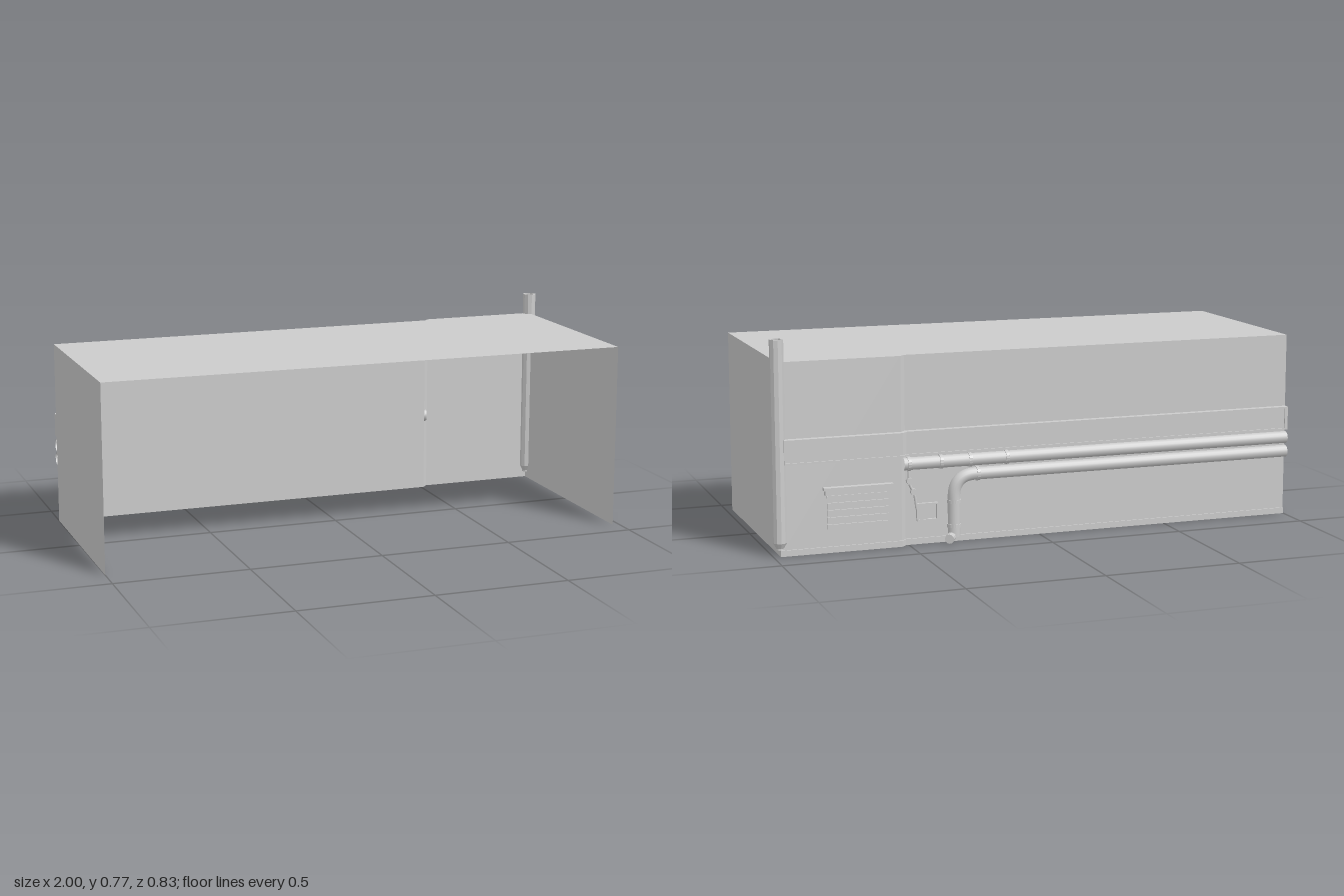
import * as THREE from 'three';

const grey = new THREE.MeshStandardMaterial({ color: 0xcccccc, side: THREE.DoubleSide, flatShading: true });
const smooth = new THREE.MeshStandardMaterial({ color: 0xcccccc, side: THREE.DoubleSide });

const H = 0.69, RIGHT = 0.975, WALL = -0.355, BAY = -0.375;

export function createModel() {
  const root = new THREE.Group();
  const add = (name, geo, mat = grey, parent = root) => {
    const m = new THREE.Mesh(geo, mat);
    m.name = name;
    parent.add(m);
    return m;
  };
  const box = (name, x0, x1, y0, y1, z0, z1, parent = root) => add(name,
    new THREE.BoxGeometry(x1 - x0, y1 - y0, z1 - z0)
      .translate((x0 + x1) / 2, (y0 + y1) / 2, (z0 + z1) / 2), grey, parent);

  // Upright or flat panel from four corners
  const panel = (name, a, b, c, d) => {
    const g = new THREE.BufferGeometry();
    g.setAttribute('position', new THREE.Float32BufferAttribute([...a, ...b, ...c, ...a, ...c, ...d], 3));
    g.computeVertexNormals();
    return add(name, g);
  };

  // Plan line of the back wall, stepping out at the bay
  const line = [[-1, WALL], [0.51, WALL], [0.53, BAY], [RIGHT, BAY]];

  // Side walls and open-fronted back wall
  panel('leftWall', [-1, 0, WALL], [-1, 0, 0.395], [-1, H, 0.395], [-1, H, WALL]);
  panel('rightWall', [RIGHT, 0, 0.415], [RIGHT, 0, BAY], [RIGHT, H, BAY], [RIGHT, H, 0.415]);
  for (let i = 0; i < 3; i++) {
    const [x0, z0] = line[i], [x1, z1] = line[i + 1];
    panel('backWall', [x1, 0, z1], [x0, 0, z0], [x0, H, z0], [x1, H, z1]);
  }

  // Flat roof following the plan line
  const plan = new THREE.Shape([[-1, 0.395], [RIGHT, 0.415], ...line.slice().reverse()]
    .map(([x, z]) => new THREE.Vector2(x, -z)));
  add('roof', new THREE.ShapeGeometry(plan).rotateX(-Math.PI / 2).translate(0, H, 0));

  // Horizontal mouldings that follow the back wall
  const moulding = (name, y0, y1, depth, xEnd = RIGHT) => {
    const path = line.map(([x, z]) => [Math.min(x, xEnd), z]);
    const outer = path.map(([x, z]) => [x, z - depth]).reverse();
    const s = new THREE.Shape([...path, ...outer].map(([x, z]) => new THREE.Vector2(x, -z)));
    const g = new THREE.ExtrudeGeometry(s, { depth: y1 - y0, bevelEnabled: false });
    add(name, g.rotateX(-Math.PI / 2).translate(0, y0, 0));
  };
  moulding('signBand', 0.336, 0.412, 0.02, 0.96);
  moulding('signBandTopRim', 0.412, 0.418, 0.025, 0.96);
  moulding('signBandBottomRim', 0.33, 0.336, 0.025, 0.96);
  box('signBandEndRim', -1, -0.988, 0.336, 0.412, WALL - 0.025, WALL);
  moulding('plinth', 0, 0.022, 0.005);

  // Corner drainpipe with funnel foot
  const drain = [[0, 0.024], [0.014, 0.024], [0.014, 0.03], [0.025, 0.05], [0.025, 0.77], [0.019, 0.77], [0.019, 0.755], [0, 0.755]]
    .map(p => new THREE.Vector2(...p));
  add('drainpipe', new THREE.LatheGeometry(drain, 10).translate(RIGHT, 0, -0.37));

  // Wall pipes, cut off flush where they meet the wall
  const pipes = new THREE.Group();
  pipes.name = 'wallPipes';
  root.add(pipes);
  const PZ = -0.362;
  const flush = (g) => {
    const p = g.attributes.position;
    for (let i = 0; i < p.count; i++) p.setZ(i, Math.min(p.getZ(i), WALL - 0.001));
    return g;
  };
  const V = (x, y, z = PZ) => new THREE.Vector3(x, y, z);
  add('upperPipe', flush(new THREE.TubeGeometry(new THREE.LineCurve3(V(-1, 0.298), V(0.52, 0.298)), 1, 0.023, 16)), smooth, pipes);

  const run = new THREE.CurvePath();
  run.add(new THREE.LineCurve3(V(-1, 0.245), V(0.25, 0.245)));
  run.add(new THREE.QuadraticBezierCurve3(V(0.25, 0.245), V(0.33, 0.245), V(0.33, 0.165)));
  run.add(new THREE.LineCurve3(V(0.33, 0.165), V(0.33, 0.02)));
  add('lowerPipe', flush(new THREE.TubeGeometry(run, 160, 0.023, 16)), smooth, pipes);

  // Pipe collars
  const collar = (x, y, upright) => {
    const g = new THREE.CylinderGeometry(0.026, 0.026, 0.012, 16);
    if (!upright) g.rotateZ(Math.PI / 2);
    add('pipeCollar', flush(g.translate(x, y, PZ)), grey, pipes);
  };
  for (const x of [0.13, 0.27, 0.38, 0.5]) collar(x, 0.298, false);
  for (const y of [0.15, 0.06]) collar(0.33, y, true);
  collar(0.24, 0.245, false);

  // Outlet stub at the foot of the lower pipe
  const outlet = add('pipeOutlet', new THREE.CylinderGeometry(0.017, 0.017, 0.045, 12).rotateX(Math.PI / 2), grey, pipes);
  outlet.position.set(0.352, 0.021, -0.39);
  outlet.rotation.y = -0.5;

  // Roller shutter on the bay
  const shutter = new THREE.Group();
  shutter.name = 'shutter';
  root.add(shutter);
  box('shutterHood', 0.57, 0.815, 0.21, 0.235, BAY - 0.02, BAY, shutter);
  box('shutterLip', 0.565, 0.82, 0.228, 0.238, BAY - 0.024, BAY, shutter);
  for (let i = 0; i < 5; i++) {
    const y = 0.08 + i * 0.026;
    box('shutterSlat', 0.58, 0.805, y, y + 0.022, BAY - 0.006, BAY, shutter);
  }

  // Meter box with frame and half-width door
  const meter = new THREE.Group();
  meter.name = 'meterBox';
  root.add(meter);
  for (const y of [0.085, 0.144]) box('meterFrame', 0.39, 0.47, y, y + 0.006, WALL - 0.012, WALL, meter);
  for (const x of [0.39, 0.464]) box('meterFrame', x, x + 0.006, 0.085, 0.15, WALL - 0.012, WALL, meter);
  box('meterDoor', 0.43, 0.464, 0.091, 0.144, WALL - 0.009, WALL, meter);

  // Thin conduit and valves beside the bay step
  const conduit = new THREE.CatmullRomCurve3([V(0.5, 0.28), V(0.495, 0.22), V(0.48, 0.19), V(0.47, 0.13)]);
  add('conduit', new THREE.TubeGeometry(conduit, 16, 0.005, 8), smooth);
  for (const [x, y] of [[0.497, 0.235], [0.482, 0.195]]) {
    add('valve', new THREE.CylinderGeometry(0.012, 0.012, 0.016, 10).rotateX(Math.PI / 2).translate(x, y, WALL - 0.009));
  }
  return root;
}
